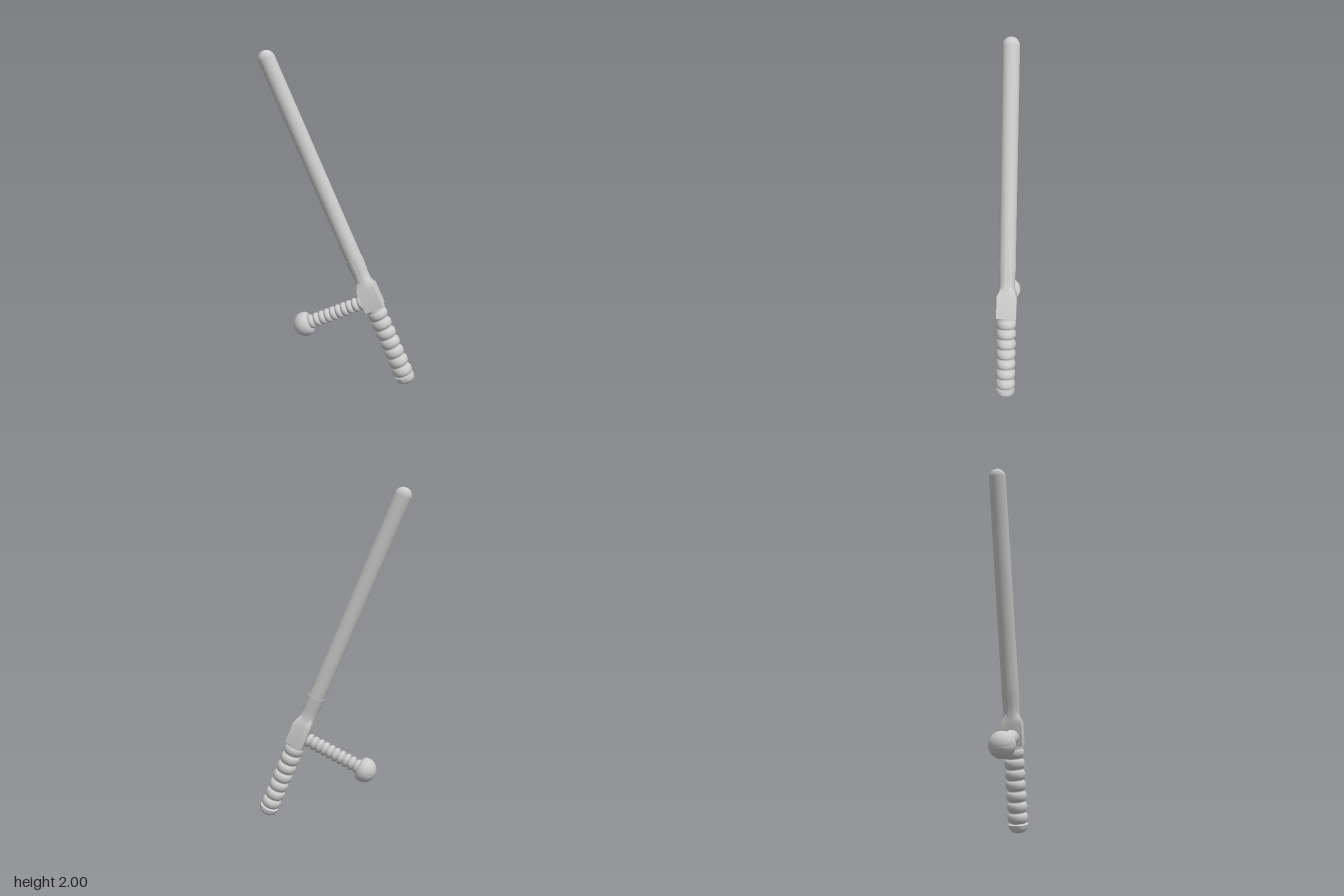
import * as THREE from 'three';
import { toCreasedNormals } from 'three/addons/utils/BufferGeometryUtils.js';

const material = new THREE.MeshStandardMaterial({ color: 0xcccccc, roughness: 0.7 });

function add(parent, name, geometry) {
  const mesh = new THREE.Mesh(geometry, material);
  mesh.name = name;
  parent.add(mesh);
  return mesh;
}

// Surface of revolution; points [radius, height] run from bottom to top
function lathe(points, segments = 40) {
  return new THREE.LatheGeometry(points.map(([r, y]) => new THREE.Vector2(r, y)), segments);
}

// Elliptical dome profile; dir 1 closes the top, -1 the bottom
function dome(radius, y, depth, dir, steps = 8) {
  const points = [];
  for (let i = 0; i <= steps; i++) {
    const a = (i / steps) * Math.PI / 2;
    points.push([i === steps ? 0 : radius * Math.cos(a), y + dir * depth * Math.sin(a)]);
  }
  return dir > 0 ? points : points.reverse();
}

// Row of rounded ribs separated by narrow grooves
function ribs(y0, y1, count, outer, core) {
  const points = [];
  const pitch = (y1 - y0) / count;
  const half = pitch * 0.43;
  for (let i = 0; i < count; i++) {
    const middle = y0 + (i + 0.5) * pitch;
    points.push([core, middle - pitch / 2]);
    for (let k = 0; k <= 8; k++) {
      const a = -Math.PI / 2 + (k / 8) * Math.PI;
      points.push([core + (outer - core) * Math.cos(a), middle + half * Math.sin(a)]);
    }
  }
  points.push([core, y1]);
  return points;
}

// Square block blending into a round neck; rows are [y, halfX, halfZ, roundness]
function blockGeometry(rows, sides = 40) {
  const positions = [];
  const index = [];
  for (const [y, hx, hz, round] of rows) {
    for (let i = 0; i < sides; i++) {
      const a = (i / sides) * Math.PI * 2;
      const c = Math.cos(a), s = Math.sin(a);
      const k = THREE.MathUtils.lerp(1 / Math.max(Math.abs(c), Math.abs(s)), 1, round);
      positions.push(hx * c * k, y, hz * s * k);
    }
  }
  for (let r = 0; r < rows.length - 1; r++) {
    for (let i = 0; i < sides; i++) {
      const j = (i + 1) % sides;
      const a = r * sides + i, b = r * sides + j;
      index.push(a, a + sides, b, b, a + sides, b + sides);
    }
  }
  // Caps
  const bottom = positions.length / 3;
  const last = (rows.length - 1) * sides;
  positions.push(0, rows[0][0], 0, 0, rows[rows.length - 1][0], 0);
  for (let i = 0; i < sides; i++) {
    const j = (i + 1) % sides;
    index.push(bottom, i, j, bottom + 1, last + j, last + i);
  }
  const geometry = new THREE.BufferGeometry();
  geometry.setAttribute('position', new THREE.Float32BufferAttribute(positions, 3));
  geometry.setIndex(index);
  return toCreasedNormals(geometry, 0.5);
}

export function createModel() {
  const model = new THREE.Group();
  model.name = 'sideHandleBaton';

  // Everything is built upright around the block, then leaned over
  const baton = new THREE.Group();
  baton.name = 'baton';
  baton.position.set(0.19, 0.55, 0);
  baton.rotation.z = THREE.MathUtils.degToRad(23.7);
  model.add(baton);

  // Long round shaft with a domed tip
  add(baton, 'shaft', lathe([[0.051, 0.2], ...dome(0.051, 1.526, 0.052, 1)]));

  // Joint block and neck collar
  add(baton, 'jointBlock', blockGeometry([
    [-0.08, 0.056, 0.06, 0],
    [0.055, 0.056, 0.06, 0],
    [0.08, 0.053, 0.054, 0.35],
    [0.11, 0.049, 0.047, 1],
    [0.16, 0.05, 0.049, 1],
    [0.21, 0.053, 0.052, 1],
    [0.25, 0.054, 0.054, 1],
  ]));

  // Ribbed main grip with a domed end cap
  add(baton, 'gripCollar', new THREE.CylinderGeometry(0.058, 0.058, 0.018, 40).translate(0, -0.088, 0));
  add(baton, 'mainGrip', lathe(ribs(-0.535, -0.09, 7, 0.061, 0.046)));
  add(baton, 'gripEndCap', toCreasedNormals(
    lathe([...dome(0.058, -0.552, 0.041, -1), [0.058, -0.54], [0.04, -0.534]]), 0.6));

  // Ribbed side handle ending in a mushroom knob, pointing to -x
  const sideHandle = new THREE.Group();
  sideHandle.name = 'sideHandle';
  sideHandle.position.set(0, -0.022, 0);
  sideHandle.rotation.z = Math.PI / 2;
  baton.add(sideHandle);
  add(sideHandle, 'sideGrip', lathe(ribs(0.05, 0.42, 10, 0.044, 0.031), 32));
  add(sideHandle, 'sideKnob', toCreasedNormals(lathe([
    [0, 0.414], [0.056, 0.412], [0.066, 0.417], [0.073, 0.43],
    ...dome(0.075, 0.448, 0.072, 1, 10),
  ]), 0.7));

  return model;
}
